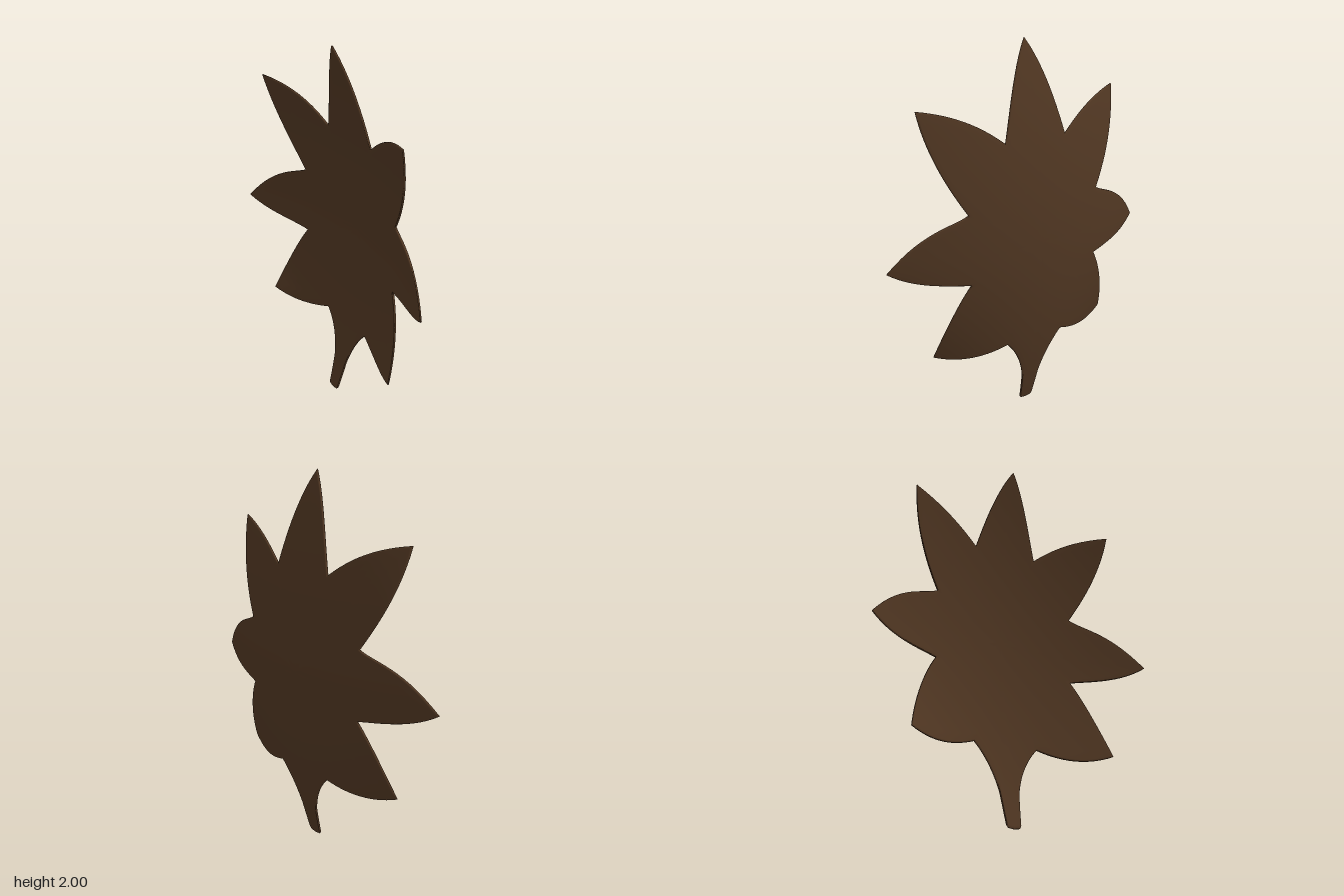
import * as THREE from 'three';
import { mergeVertices } from 'three/addons/utils/BufferGeometryUtils.js';

const CENTRE_Y = 1;
const HALF_THICKNESS = 0.007;

// Right half of the leaf outline, from the top tip down to the stem end.
function halfOutline() {
  const s = new THREE.Shape();
  s.moveTo(0, 2);
  s.bezierCurveTo(0.08, 1.88, 0.13, 1.70, 0.177, 1.523); // top lobe
  s.bezierCurveTo(0.27, 1.60, 0.39, 1.68, 0.58, 1.707); // upper lobe
  s.bezierCurveTo(0.56, 1.50, 0.47, 1.33, 0.39, 1.20);
  s.bezierCurveTo(0.47, 1.15, 0.61, 1.15, 0.77, 0.932); // middle lobe
  s.bezierCurveTo(0.65, 0.85, 0.51, 0.85, 0.385, 0.828);
  s.bezierCurveTo(0.45, 0.73, 0.51, 0.57, 0.543, 0.408); // lower lobe
  s.bezierCurveTo(0.42, 0.36, 0.30, 0.375, 0.172, 0.425);
  s.bezierCurveTo(0.11, 0.36, 0.07, 0.27, 0.052, 0.18); // stem
  s.bezierCurveTo(0.045, 0.12, 0.042, 0.07, 0.037, 0.015);
  s.lineTo(0.03, 0.004);
  s.lineTo(0, 0);
  return s.getPoints(14);
}

// The blade is dished: its rim curls forward, most at the lower lobes.
function dish(x, y) {
  const dy = y - CENTRE_Y;
  const curl = dy < 0 ? 0.4 * x * x * dy * dy : 0;
  return -0.103 + 0.34 * x * x + 0.153 * dy * dy + curl;
}

function leafGeometry() {
  const right = halfOutline();
  const left = right.slice(1, -1).reverse().map((p) => new THREE.Vector2(-p.x, p.y));
  const outline = [...right, ...left];
  const n = outline.length;

  // Rings grow from the centre over the front, round the rim and back again.
  const front = [];
  for (let i = 0; i <= 14; i++) front.push([(i / 14) * 0.985, HALF_THICKNESS]);
  front.push([0.996, HALF_THICKNESS * 0.75], [1, HALF_THICKNESS * 0.3]);
  const back = front.map(([t, h]) => [t, -h]).reverse();
  const rings = [...front, ...back];

  const positions = [];
  for (const [t, h] of rings) {
    for (const p of outline) {
      const x = p.x * t;
      const y = CENTRE_Y + (p.y - CENTRE_Y) * t;
      positions.push(x, y, dish(x, y) + h);
    }
  }

  const index = [];
  for (let r = 0; r < rings.length - 1; r++) {
    for (let j = 0; j < n; j++) {
      const k = (j + 1) % n;
      const a = r * n + j, b = r * n + k, c = a + n, d = b + n;
      if (r < rings.length - 2) index.push(a, d, c);
      else index.push(a, b, c);
      if (r > 0 && r < rings.length - 2) index.push(a, b, d);
    }
  }

  const geometry = new THREE.BufferGeometry();
  geometry.setAttribute('position', new THREE.Float32BufferAttribute(positions, 3));
  geometry.setIndex(index);
  const merged = mergeVertices(geometry, 1e-5);
  merged.computeVertexNormals();
  return merged;
}

export function createModel() {
  const group = new THREE.Group();
  group.name = 'leaf';
  const brown = new THREE.MeshStandardMaterial({ color: 0x523823 });
  brown.name = 'dark brown';
  const blade = new THREE.Mesh(leafGeometry(), brown);
  blade.name = 'leafBlade';
  group.add(blade);
  return group;
}
